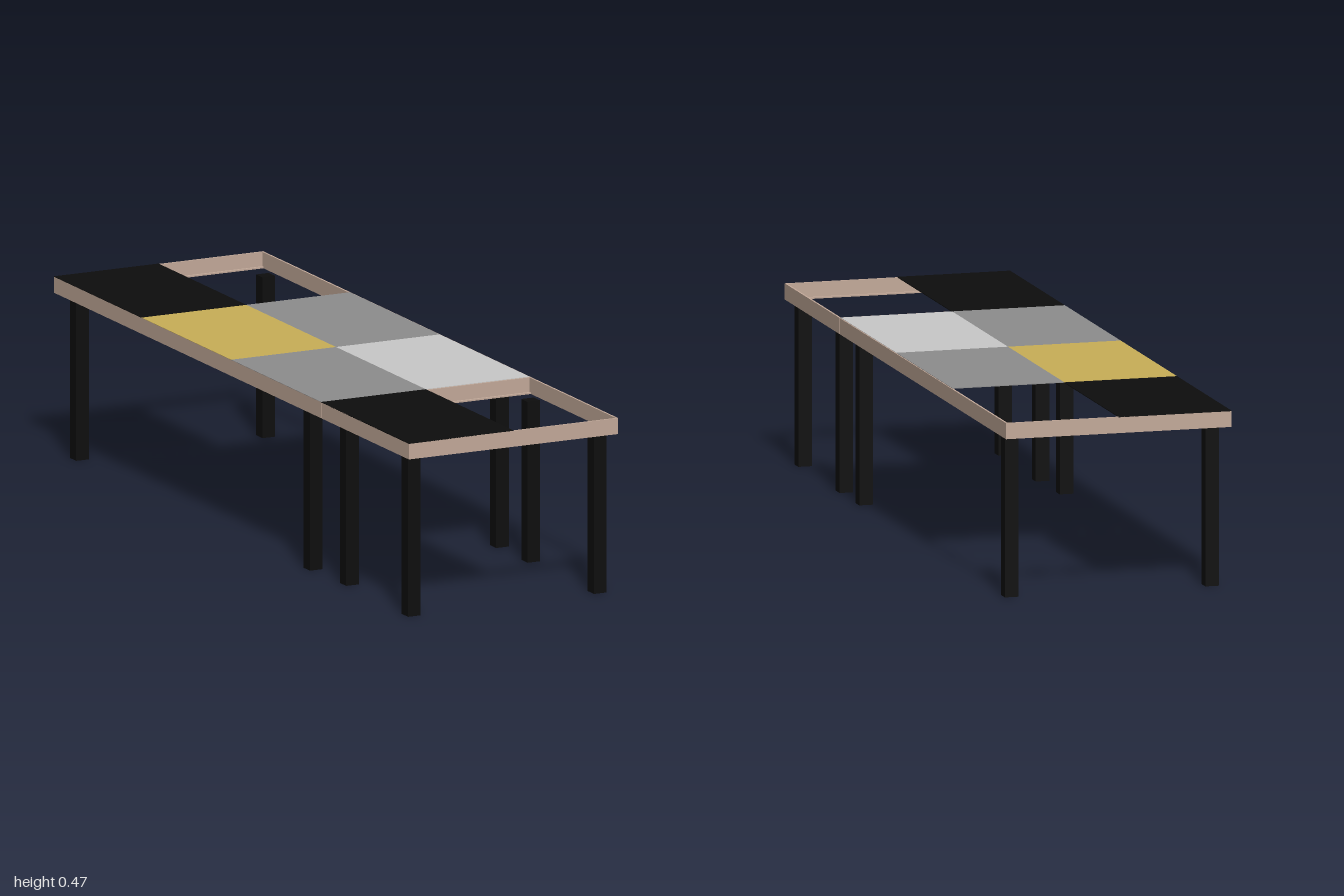
import * as THREE from 'three';

const mat = (name, color) => {
  const m = new THREE.MeshStandardMaterial({ color });
  m.name = name;
  return m;
};

export function createModel() {
  const wood = mat('pale wood', 0xc4aa9a);
  const black = mat('black', 0x0d0d0d);
  const yellow = mat('ochre', 0xc9af57);
  const grey = mat('mid grey', 0x8d8d8d);
  const light = mat('light grey', 0xc9c9c9);

  const model = new THREE.Group();
  model.name = 'table';

  // Box given by its min and max corners
  const box = (name, material, x0, x1, y0, y1, z0, z1) => {
    const mesh = new THREE.Mesh(new THREE.BoxGeometry(x1 - x0, y1 - y0, z1 - z0), material);
    mesh.position.set((x0 + x1) / 2, (y0 + y1) / 2, (z0 + z1) / 2);
    mesh.name = name;
    model.add(mesh);
  };

  const bottom = 0.423, top = 0.465, split = 0.506;
  const halfWidth = 0.3, wall = 0.005, lip = 0.012;

  // Side rails, in a long and a short section
  for (const side of [-1, 1]) {
    const a = side * halfWidth, b = side * (halfWidth - wall);
    const x0 = Math.min(a, b), x1 = Math.max(a, b);
    box('longSideRail', wood, x0, x1, bottom, top, -1, split - 0.001);
    box('shortSideRail', wood, x0, x1, bottom, top, split + 0.001, 1);
  }

  // End rails and crossbar: upright wall with a narrow inner lip along the bottom
  const inner = halfWidth - wall;
  for (const [name, z, inward] of [['backRail', -1, 1], ['frontRail', 1, -1], ['crossbar', split, 1]]) {
    const span = (w) => [Math.min(z, z + inward * w), Math.max(z, z + inward * w)];
    box(name, wood, -inner, inner, bottom, top, ...span(wall));
    box(name + 'Lip', wood, -inner, inner, bottom, bottom + 0.004, ...span(lip));
  }

  // Thin top panels
  const panels = [
    ['backBlackPanel', black, -halfWidth, 0, -1, -0.51],
    ['ochrePanel', yellow, -halfWidth, 0, -0.505, 0],
    ['leftGreyPanel', grey, -halfWidth, 0, 0, 0.505],
    ['frontBlackPanel', black, -halfWidth, 0, 0.506, 1],
    ['rightGreyPanel', grey, 0, 0.297, -0.505, 0],
    ['lightGreyPanel', light, 0, 0.297, 0, 0.505],
  ];
  for (const [name, m, x0, x1, z0, z1] of panels) box(name, m, x0, x1, 0.464, 0.466, z0, z1);

  // Square legs: four under each section
  const h = 0.018;
  const legs = [
    [-0.267, -0.921], [0.267, -0.921], [-0.267, 0.395], [0.267, 0.395],
    [-0.258, 0.582], [0.267, 0.572], [-0.267, 0.948], [0.267, 0.946],
  ];
  for (const [x, z] of legs) box('leg', black, x - h, x + h, 0, bottom, z - h, z + h);

  return model;
}
